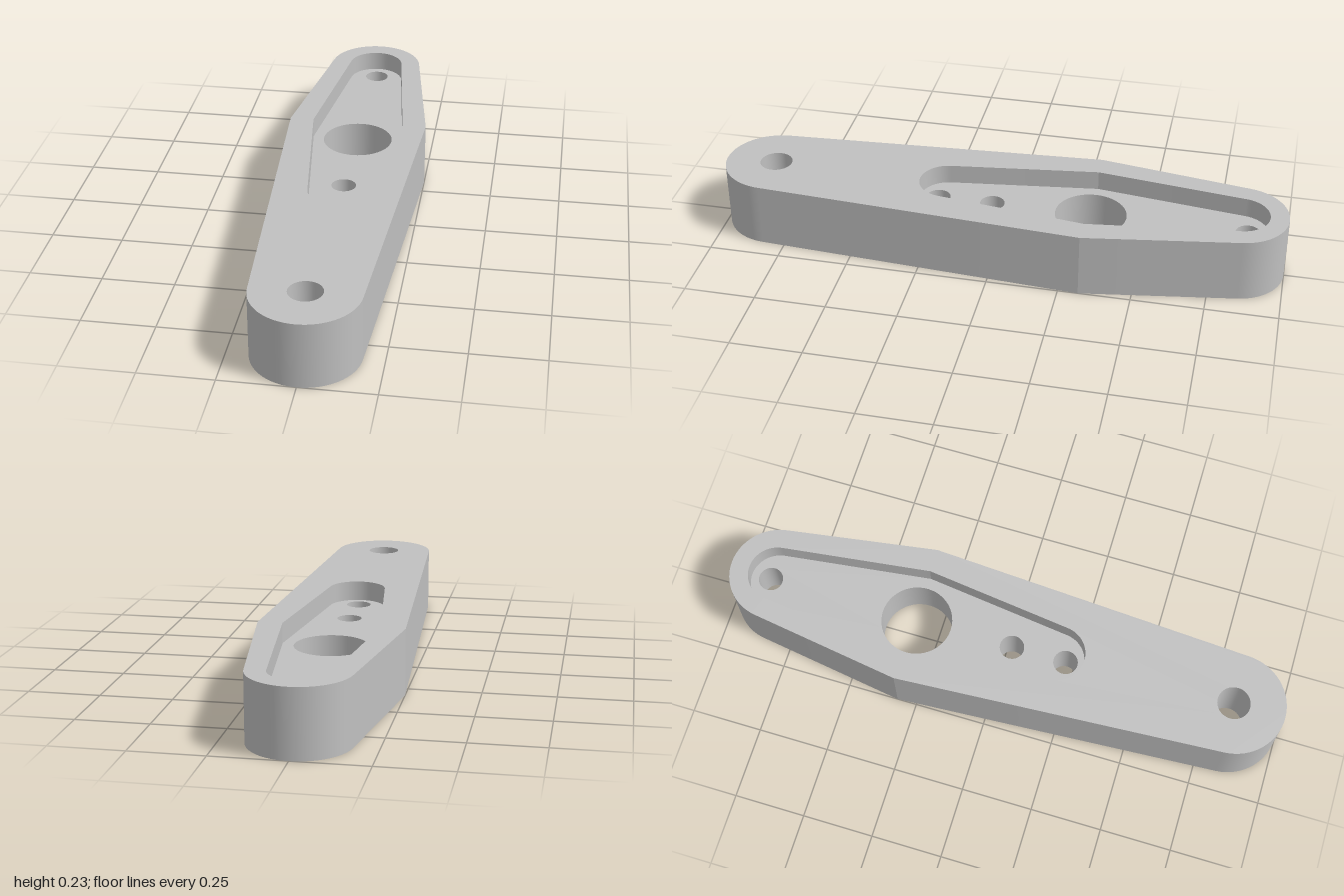
import * as THREE from 'three';
import { mergeGeometries } from 'three/addons/utils/BufferGeometryUtils.js';

const HEIGHT = 0.23, FLOOR = 0.16;

// Work plane: x right, y towards the back (-z); all loops run counter-clockwise.
function arc(cy, r, from, to, n) {
  return Array.from({ length: n + 1 }, (_, i) => {
    const t = from + (to - from) * i / n;
    return new THREE.Vector2(r * Math.cos(t), cy + r * Math.sin(t));
  });
}

function circle(cy, r) {
  return arc(cy, r, 0, Math.PI * 2, 48).slice(0, -1);
}

// Two round ends joined by tangents to a wider waist
function lozenge(backY, backR, waistY, waistX, frontY, frontR) {
  const tangent = (cy, r, sign) =>
    Math.atan2(waistY - cy, waistX) + sign * Math.acos(r / Math.hypot(waistX, waistY - cy));
  const b = tangent(backY, backR, 1), f = tangent(frontY, frontR, -1);
  return [
    new THREE.Vector2(waistX, waistY),
    ...arc(backY, backR, b, Math.PI - b, 32),
    new THREE.Vector2(-waistX, waistY),
    ...arc(frontY, frontR, Math.PI - f, Math.PI * 2 + f, 32),
  ];
}

// Flat face with holes at a given height
function face(outline, holes, z, down = false) {
  const shape = new THREE.Shape(outline);
  shape.holes = holes.map((h) => new THREE.Path(h));
  const g = new THREE.ShapeGeometry(shape);
  if (down) g.rotateY(Math.PI); // symmetric in x, so this only flips the face
  return g.translate(0, 0, z);
}

// Upright wall along a loop: smooth round the arcs, sharp at real corners
function wall(loop, z0, z1, inward = false) {
  const p = inward ? [...loop].reverse() : loop;
  const n = p.length;
  const normals = p.map((a, i) => {
    const d = p[(i + 1) % n].clone().sub(a).normalize();
    return new THREE.Vector2(d.y, -d.x);
  });
  const blend = (u, v) => (u.dot(v) > 0.99 ? u.clone().add(v).normalize() : u);
  const pos = [], nor = [], uv = [], index = [];
  for (let i = 0; i < n; i++) {
    const a = p[i], b = p[(i + 1) % n];
    const na = blend(normals[i], normals[(i + n - 1) % n]);
    const nb = blend(normals[i], normals[(i + 1) % n]);
    pos.push(a.x, a.y, z0, b.x, b.y, z0, b.x, b.y, z1, a.x, a.y, z1);
    for (const v of [na, nb, nb, na]) nor.push(v.x, v.y, 0);
    uv.push(0, 0, 1, 0, 1, 1, 0, 1);
    const k = i * 4;
    index.push(k, k + 1, k + 2, k, k + 2, k + 3);
  }
  const g = new THREE.BufferGeometry();
  g.setAttribute('position', new THREE.Float32BufferAttribute(pos, 3));
  g.setAttribute('normal', new THREE.Float32BufferAttribute(nor, 3));
  g.setAttribute('uv', new THREE.Float32BufferAttribute(uv, 2));
  g.setIndex(index);
  return g;
}

export function createModel() {
  const group = new THREE.Group();
  group.name = 'linkPlate';
  const grey = new THREE.MeshStandardMaterial({ color: 0xc0c0c0 });
  grey.name = 'grey';

  const outline = lozenge(0.83, 0.17, 0.32, 0.25, -0.82, 0.18);
  const pocket = lozenge(0.835, 0.1, 0.32, 0.165, -0.19, 0.1);
  const frontHole = circle(-0.82, 0.057);
  const pocketHoles = [
    circle(0.865, 0.043), circle(0.32, 0.125), circle(-0.03, 0.043), circle(-0.225, 0.043),
  ];

  const add = (name, ...parts) => {
    const mesh = new THREE.Mesh(mergeGeometries(parts).rotateX(-Math.PI / 2), grey);
    mesh.name = name;
    group.add(mesh);
  };

  // Outer body: rim top, underside and side wall
  add('body',
    face(outline, [pocket, frontHole], HEIGHT),
    face(outline, [...pocketHoles, frontHole], 0, true),
    wall(outline, 0, HEIGHT));

  // Recess in the top
  add('pocket', face(pocket, pocketHoles, FLOOR), wall(pocket, FLOOR, HEIGHT, true));

  // Through holes
  add('frontBore', wall(frontHole, 0, HEIGHT, true));
  add('pocketBores', ...pocketHoles.map((h) => wall(h, 0, FLOOR, true)));

  return group;
}
